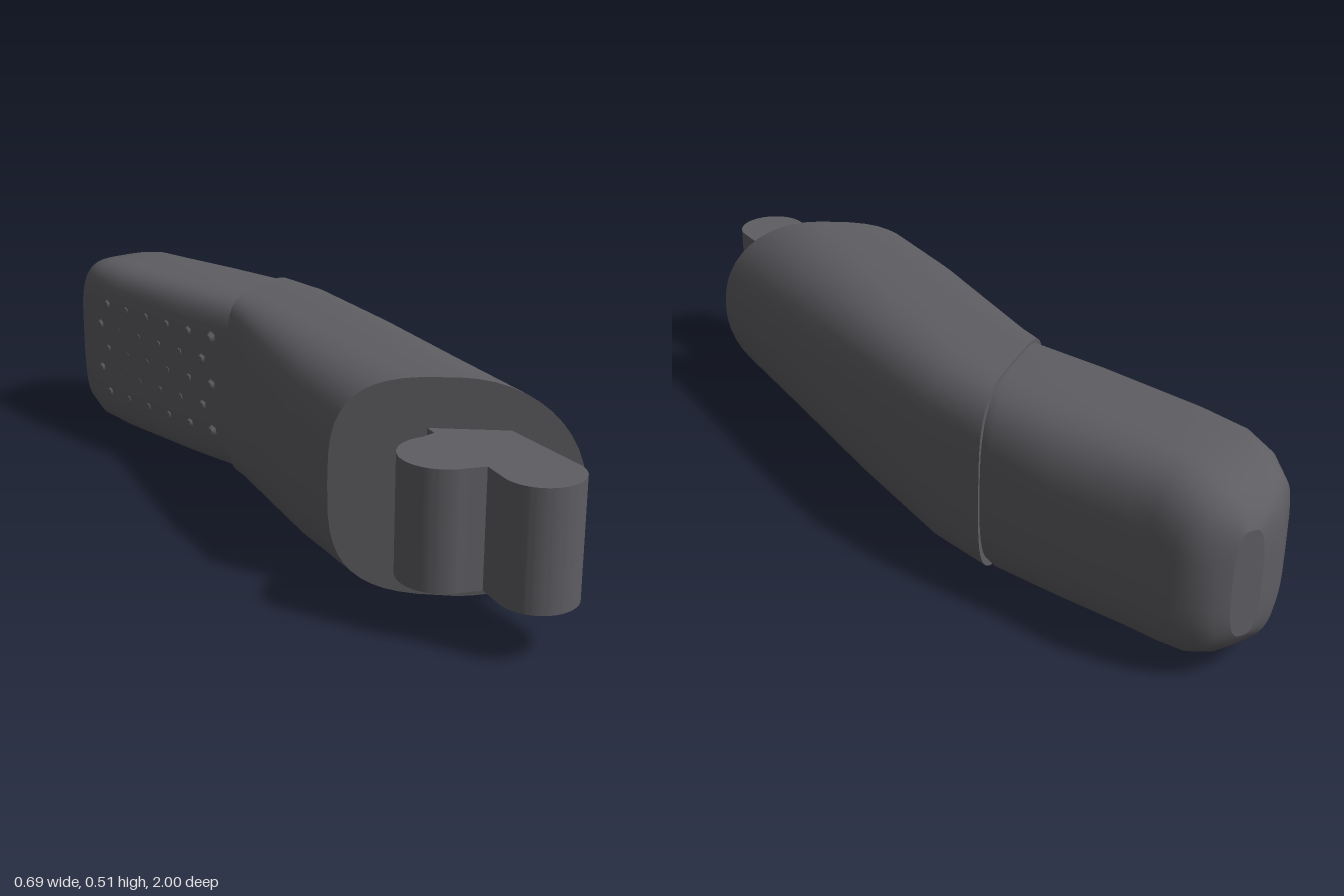
import * as THREE from 'three';
import { toCreasedNormals } from 'three/addons/utils/BufferGeometryUtils.js';

const SIDES = 48;
const MID_Y = 0.256;

// Each station: [leftX, leftZ, rightX, rightZ, halfHeight, left squareness, right squareness]
const BODY = [
  [-0.15, 0.49, 0.345, 0.755, 0.256, 3.2, 2.1],
  [-0.158, 0.25, 0.312, 0.45, 0.253, 3.6, 2.4],
  [-0.146, 0.0, 0.275, 0.08, 0.25, 4.2, 2.8],
  [-0.134, -0.14, 0.23, -0.29, 0.247, 5, 3.2],
  [-0.132, -0.2, 0.176, -0.46, 0.245, 5.5, 3.5],
];
const GRIP = [
  [-0.112, -0.16, 0.172, -0.41, 0.236, 5, 3],
  [-0.128, -0.21, 0.168, -0.49, 0.24, 5, 3],
  [-0.2, -0.38, 0.1, -0.645, 0.24, 5, 3],
  [-0.3, -0.65, 0.025, -0.8, 0.238, 5, 3],
  [-0.333, -0.77, -0.005, -0.87, 0.236, 5, 3],
  [-0.34, -0.85, -0.025, -0.93, 0.222, 4.5, 3],
  [-0.325, -0.915, -0.055, -0.968, 0.198, 4, 3],
  [-0.27, -0.97, -0.09, -0.99, 0.165, 3.5, 3],
  [-0.2, -1.0, -0.125, -1.0, 0.13, 3, 3],
];

function ring([lx, lz, rx, rz, h, nl, nr]) {
  const points = [];
  for (let j = 0; j < SIDES; j++) {
    const a = (j / SIDES) * Math.PI * 2;
    const c = Math.cos(a), s = Math.sin(a);
    const e = 2 / (c < 0 ? nl : nr);
    const u = (Math.sign(c) * Math.abs(c) ** e + 1) / 2;
    const v = Math.sign(s) * Math.abs(s) ** e;
    points.push([lx + (rx - lx) * u, MID_Y + h * v, lz + (rz - lz) * u]);
  }
  return points;
}

// Skin a list of rings, with smooth sides and flat ends
function loft(stations) {
  const pos = [], index = [];
  const rings = stations.map(ring);
  rings.forEach((r) => r.forEach((p) => pos.push(...p)));
  for (let i = 0; i < rings.length - 1; i++) {
    for (let j = 0; j < SIDES; j++) {
      const k = (j + 1) % SIDES;
      const a = i * SIDES + j, b = i * SIDES + k;
      index.push(a, a + SIDES, b, b, a + SIDES, b + SIDES);
    }
  }
  [0, rings.length - 1].forEach((i) => {
    const base = pos.length / 3;
    const [lx, lz, rx, rz] = stations[i];
    pos.push((lx + rx) / 2, MID_Y, (lz + rz) / 2);
    rings[i].forEach((p) => pos.push(...p));
    for (let j = 0; j < SIDES; j++) {
      const a = base + 1 + j, b = base + 1 + ((j + 1) % SIDES);
      if (i === 0) index.push(base, a, b);
      else index.push(base, b, a);
    }
  });
  const g = new THREE.BufferGeometry();
  g.setAttribute('position', new THREE.Float32BufferAttribute(pos, 3));
  g.setIndex(index);
  g.computeVertexNormals();
  return g;
}

export function createModel() {
  const model = new THREE.Group();
  const rubber = new THREE.MeshStandardMaterial({ color: 0x5e5d62 });
  rubber.name = 'darkGrey';

  const add = (name, geometry, parent = model) => {
    const mesh = new THREE.Mesh(geometry, rubber);
    mesh.name = name;
    parent.add(mesh);
    return mesh;
  };

  add('body', loft(BODY));
  add('grip', loft(GRIP));

  // Hinge: two upright barrels joined by a neck, as one outline
  const outline = new THREE.Shape();
  outline.moveTo(0.04, 0.52);
  outline.lineTo(0.19, 0.58);
  outline.lineTo(0.225, 0.9);
  outline.absarc(0.137, 0.912, 0.089, 0, Math.PI, false);
  outline.lineTo(0.048, 0.845);
  outline.lineTo(0.006, 0.838);
  outline.absarc(0.006, 0.738, 0.1, Math.PI / 2, Math.PI * 1.5, false);
  outline.lineTo(0.04, 0.625);
  const hinge = new THREE.ExtrudeGeometry(outline, { depth: 0.275, bevelEnabled: false, curveSegments: 20 });
  hinge.rotateX(Math.PI / 2);
  hinge.translate(0, 0.396, 0);
  add('hinge', toCreasedNormals(hinge, 0.7));

  // Raised studs in staggered rows on the inner face of the grip
  const studs = new THREE.Group();
  studs.name = 'gripStuds';
  model.add(studs);
  const stud = new THREE.CylinderGeometry(0.009, 0.019, 0.014, 6);
  const out = new THREE.Vector3(-0.93, 0, 0.36).normalize();
  const up = new THREE.Vector3(0, 1, 0);
  for (let row = 0; row < 5; row++) {
    for (let col = 0; col < 6; col++) {
      const t = (col + (row % 2) * 0.4) / 6;
      const mesh = add('stud', stud, studs);
      mesh.position.set(-0.155 - 0.185 * t, 0.13 + row * 0.064, -0.27 - 0.51 * t);
      mesh.quaternion.setFromUnitVectors(up, out);
    }
  }
  return model;
}
